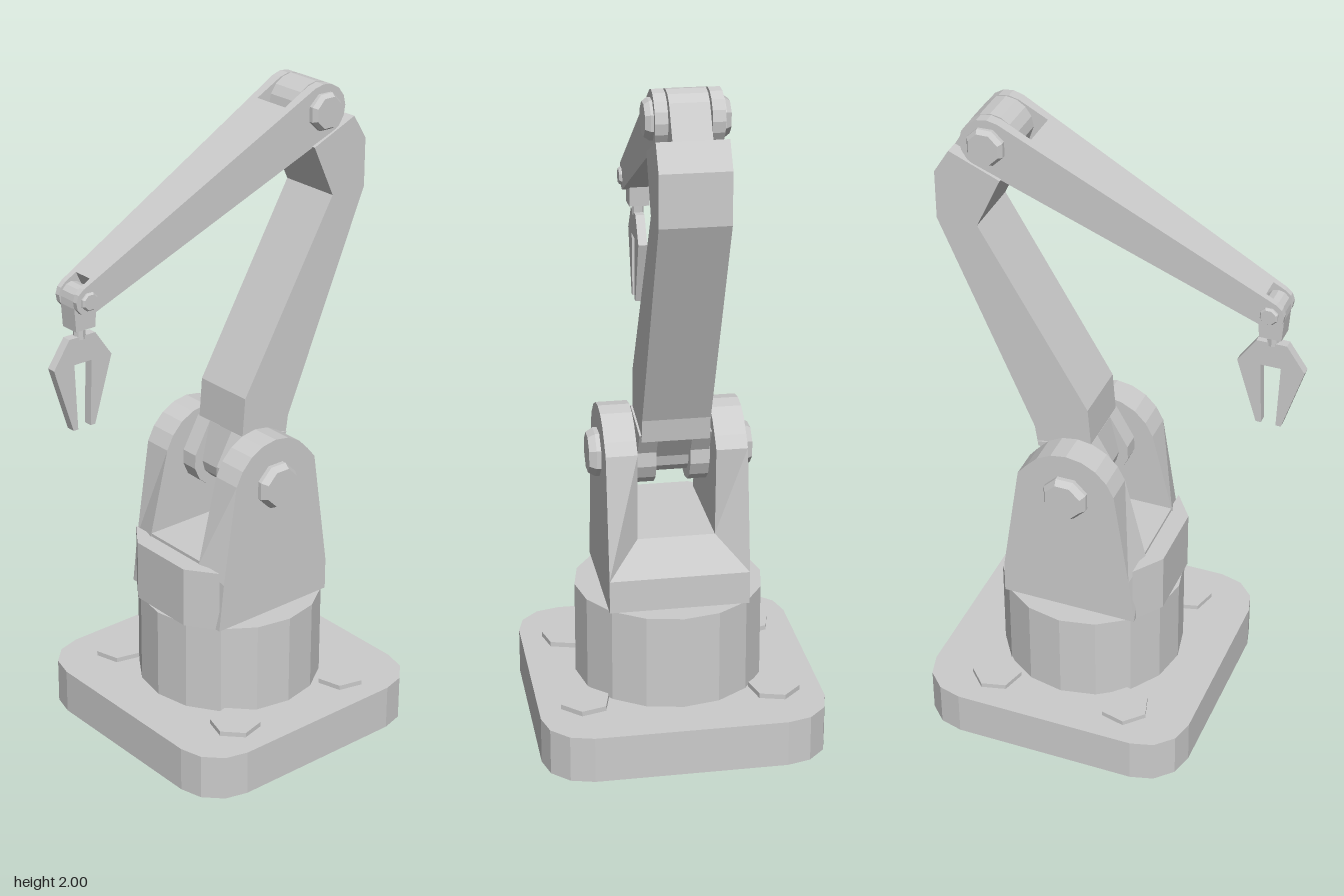
import * as THREE from 'three';

const CX = 0.107; // vertical axis of the base

export function createModel() {
  const model = new THREE.Group();
  const mat = new THREE.MeshStandardMaterial({ color: 0xcccccc, flatShading: true });
  const openMat = new THREE.MeshStandardMaterial({ color: 0xcccccc, flatShading: true, side: THREE.DoubleSide });

  function add(name, geo, parent = model, material = mat) {
    const mesh = new THREE.Mesh(geo, material);
    mesh.name = name;
    parent.add(mesh);
    return mesh;
  }
  // Side profile extruded from z0 to z1, optionally bent by a vertex rule
  function slab(name, pts, z0, z1, rule, parent) {
    const shape = new THREE.Shape(pts.map(([x, y]) => new THREE.Vector2(x, y)));
    const geo = new THREE.ExtrudeGeometry(shape, { depth: z1 - z0, bevelEnabled: false });
    geo.translate(0, 0, z0);
    if (rule) {
      const p = geo.attributes.position, v = new THREE.Vector3();
      for (let i = 0; i < p.count; i++) {
        v.fromBufferAttribute(p, i);
        rule(v);
        p.setXYZ(i, v.x, v.y, v.z);
      }
      geo.computeVertexNormals();
    }
    return add(name, geo, parent);
  }
  const arc = (cx, cy, r, a0, a1, n) => Array.from({ length: n + 1 }, (_, i) => {
    const a = THREE.MathUtils.degToRad(a0 + (a1 - a0) * i / n);
    return [cx + r * Math.cos(a), cy + r * Math.sin(a)];
  });
  // Pivot pin along z: shaft plus a tapered head on each side
  function pin(name, x, y, r, zIn, zOut, sides) {
    const g = new THREE.Group();
    g.name = name;
    g.position.set(x, y, 0);
    const d = zOut - zIn;
    const profile = [[0, -zOut], [r * 0.83, -zOut], [r, -zOut + d * 0.5], [r, -zIn], [r * 0.85, -zIn],
      [r * 0.85, zIn], [r, zIn], [r, zOut - d * 0.5], [r * 0.83, zOut], [0, zOut]];
    const geo = new THREE.LatheGeometry(profile.map(p => new THREE.Vector2(...p)), sides);
    geo.rotateX(Math.PI / 2);
    geo.rotateZ(Math.PI / sides);
    add(name + 'Body', geo, g);
    model.add(g);
  }

  // Base plate: rounded square shell, open underneath
  const hx = 0.425, r = 0.14, c = hx - r;
  const plate = [...arc(c, c, r, 0, 90, 3), ...arc(-c, c, r, 90, 180, 3),
    ...arc(-c, -c, r, 180, 270, 3), ...arc(c, -c, r, 270, 360, 3)];
  const plateTop = new THREE.ShapeGeometry(new THREE.Shape(plate.map(p => new THREE.Vector2(...p))));
  plateTop.rotateX(-Math.PI / 2);
  add('basePlateTop', plateTop, model, openMat).position.set(CX, 0.142, 0);
  const wall = [], index = [];
  plate.forEach(([x, z], i) => {
    const a = 2 * i, b = 2 * ((i + 1) % plate.length);
    wall.push(x, 0, -z, x, 0.142, -z);
    index.push(a, b, b + 1, a, b + 1, a + 1);
  });
  const wallGeo = new THREE.BufferGeometry();
  wallGeo.setAttribute('position', new THREE.Float32BufferAttribute(wall, 3));
  wallGeo.setIndex(index);
  wallGeo.computeVertexNormals();
  add('basePlateWall', wallGeo, model, openMat).position.x = CX;

  // Four hex bolts with tapered shanks below the plate
  for (const sx of [-1, 1]) for (const sz of [-1, 1]) {
    const bolt = new THREE.Group();
    bolt.name = 'bolt';
    const head = add('boltHead', new THREE.CylinderGeometry(0.077, 0.077, 0.03, 6), bolt);
    head.position.y = 0.142;
    const shank = add('boltShank', new THREE.CylinderGeometry(0.07, 0.04, 0.12, 6), bolt);
    shank.position.y = 0.075;
    bolt.position.set(CX + sx * 0.215, 0, sz * 0.285);
    bolt.rotation.y = sx * sz * THREE.MathUtils.degToRad(16);
    model.add(bolt);
  }

  // Turret drum
  add('turret', new THREE.CylinderGeometry(0.284, 0.284, 0.29, 16)).position.set(CX, 0.285, 0);

  // Yoke: two cheeks whose inner edges splay into the floor
  const cheek = [[-0.107, 0.43], [0.318, 0.43], [0.318, 0.53], [0.262, 0.9],
    ...arc(CX, 0.845, 0.155, 35, 145, 6), [-0.043, 0.89], [-0.09, 0.58]];
  for (const s of [-1, 1]) {
    slab('yokeCheek', cheek, s > 0 ? 0.115 : -0.208, s > 0 ? 0.208 : -0.115, v => {
      if (Math.abs(v.z) > 0.15) return;
      if (v.x > 0.3 && v.y > 0.5) { v.x = 0.25; v.y = 0.63; }
      if (v.x < -0.08 && v.y > 0.5) { v.x = -0.11; v.y = 0.62; }
    });
  }
  // Floor between the cheeks with a ramp; it flares to full width at the low edge
  slab('yokeFloor', [[-0.107, 0.43], [0.318, 0.43], [0.318, 0.53], [0.25, 0.63], [-0.107, 0.63]],
    -0.116, 0.116, v => { if (v.x > 0.3) v.z *= 0.207 / 0.116; });
  // Rear housing following the drum outline
  const housing = slab('rearHousing', [[-0.1, -0.2], [-0.1, 0.2], [-0.165, 0.11], [-0.165, -0.11]], 0, 0.19);
  housing.rotation.x = -Math.PI / 2;
  housing.position.y = 0.43;
  pin('shoulderPin', CX, 0.855, 0.072, 0.2, 0.242, 8);

  // Lower arm with forked hub at the shoulder and a tongue at the elbow
  slab('lowerArm', [[0.07, 0.97], [0.24, 0.93], [0.25, 1.0], [0.535, 1.66], [0.535, 1.81],
    [0.488, 1.885], [0.335, 1.82], [0.41, 1.66], [0.08, 1.1]], -0.1, 0.1);
  const hub = [[0.07, 0.98], ...arc(CX, 0.855, 0.097, 165, 375, 8), [0.24, 0.95]];
  for (const s of [-1, 1]) slab('shoulderEar', hub, s > 0 ? 0.05 : -0.106, s > 0 ? 0.106 : -0.05);
  slab('shoulderCore', [[0.07, 0.98], ...arc(CX, 0.855, 0.066, 180, 360, 6), [0.24, 0.95]], -0.05, 0.05);
  slab('elbowTongue', [[0.335, 1.81], [0.49, 1.88], ...arc(0.375, 1.92, 0.08, 20, 180, 7)], -0.055, 0.055);
  pin('elbowPin', 0.375, 1.92, 0.058, 0.088, 0.117, 8);

  // Forearm in its own frame: u runs from wrist to elbow, width and height taper
  const L = 0.908;
  const forearm = new THREE.Group();
  forearm.name = 'forearm';
  forearm.position.set(-0.445, 1.53, 0);
  forearm.rotation.z = Math.atan2(0.39, 0.82);
  model.add(forearm);
  const h = u => 0.043 + 0.037 * u / L;
  const w = u => 0.05 + 0.042 * u / L;
  const flare = v => { if (Math.abs(v.z) > 0.07) v.z = Math.sign(v.z) * w(v.x); };
  const u0 = 0.04, u1 = 0.81;
  slab('forearmBeam', [[u0, -h(u0)], [u1, -h(u1)], [u1, h(u1)], [u0, h(u0)]], -0.1, 0.1, flare, forearm);
  const elbowProng = [[u1, -h(u1)], ...arc(L, 0, 0.08, -90, 90, 8), [u1, h(u1)]];
  const wristProng = [[u0, h(u0)], ...arc(0, 0, 0.043, 90, 270, 6), [u0, -h(u0)]];
  for (const s of [-1, 1]) {
    slab('elbowProng', elbowProng, s > 0 ? 0.06 : -0.1, s > 0 ? 0.1 : -0.06, flare, forearm);
    slab('wristProng', wristProng, s > 0 ? 0.032 : -0.1, s > 0 ? 0.1 : -0.032, flare, forearm);
  }
  pin('wristPin', -0.445, 1.53, 0.028, 0.048, 0.06, 8);

  // Hanging gripper
  const gripper = new THREE.Group();
  gripper.name = 'gripper';
  gripper.position.x = -0.445;
  model.add(gripper);
  slab('wristKnuckle', [[-0.033, 1.44], [0.033, 1.44], [0.038, 1.51],
    ...arc(0, 1.53, 0.036, 0, 180, 6), [-0.038, 1.51]], -0.031, 0.031, null, gripper);
  add('gripperNeck', new THREE.CylinderGeometry(0.018, 0.018, 0.04, 8), gripper).position.y = 1.425;
  slab('claw', [[-0.045, 1.415], [-0.1, 1.335], [-0.038, 1.135], [-0.022, 1.135], [-0.03, 1.335],
    [0.03, 1.335], [0.022, 1.135], [0.038, 1.135], [0.1, 1.335], [0.045, 1.415]],
    -0.014, 0.014, null, gripper);

  return model;
}
